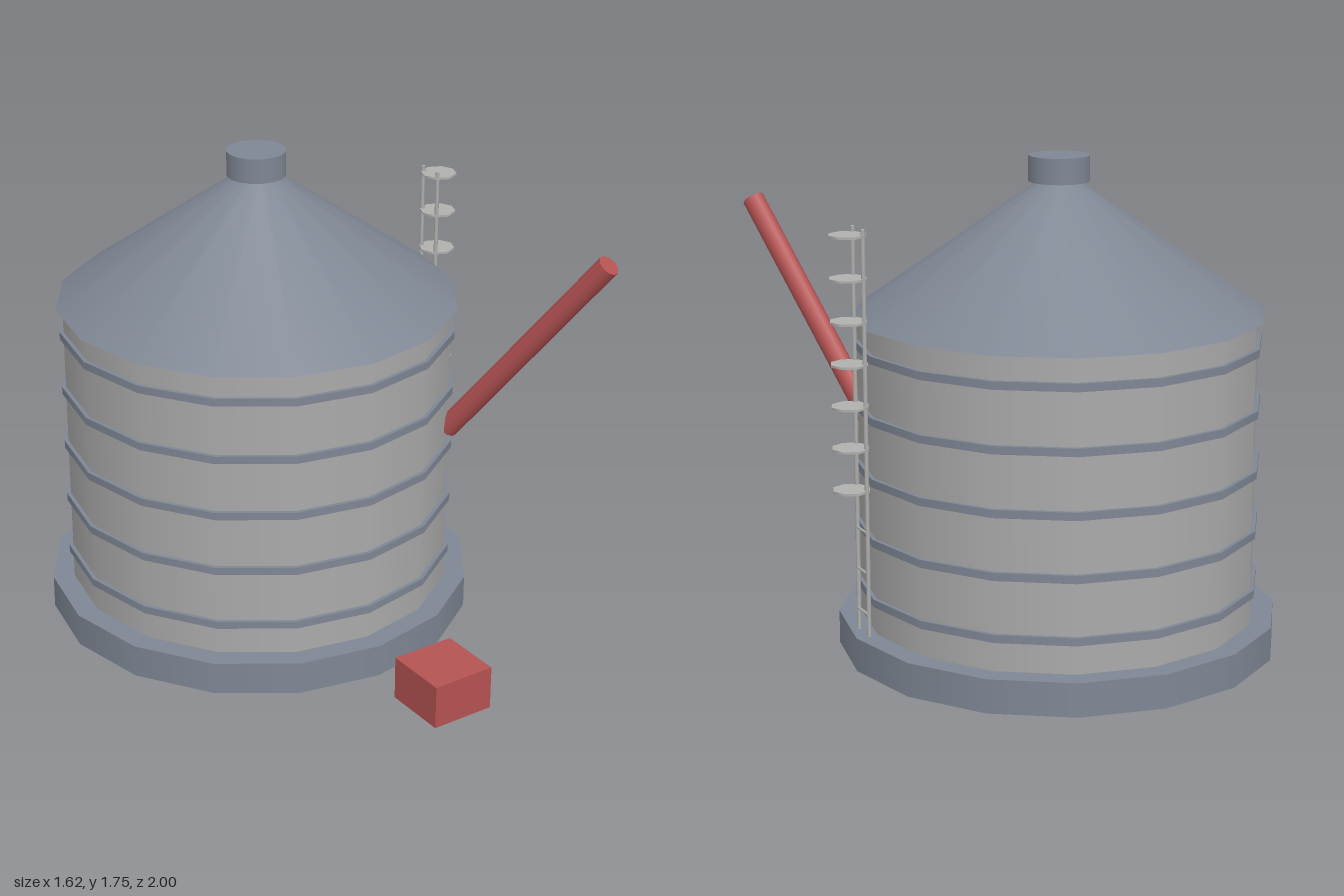
import * as THREE from 'three';

const CX = -0.033, CZ = -0.217; // axis of the silo
const SIDES = 16;

const paint = (color) => new THREE.MeshStandardMaterial({ color });

function add(parent, name, geometry, material, x = 0, y = 0, z = 0) {
  const mesh = new THREE.Mesh(geometry, material);
  mesh.name = name;
  mesh.position.set(x, y, z);
  parent.add(mesh);
  return mesh;
}

// Upright cylinder or cone given by its bottom and top heights
function drum(parent, name, material, rBottom, rTop, y0, y1, sides = SIDES, x = 0, z = 0) {
  const geometry = new THREE.CylinderGeometry(rTop, rBottom, y1 - y0, sides);
  return add(parent, name, geometry, material, x, (y0 + y1) / 2, z);
}

// Round bar between two points
function bar(parent, name, material, from, to, radius, sides) {
  const dir = to.clone().sub(from);
  const mid = from.clone().add(to).multiplyScalar(0.5);
  const geometry = new THREE.CylinderGeometry(radius, radius, dir.length(), sides);
  const mesh = add(parent, name, geometry, material, mid.x, mid.y, mid.z);
  mesh.quaternion.setFromUnitVectors(new THREE.Vector3(0, 1, 0), dir.normalize());
  return mesh;
}

export function createModel() {
  const model = new THREE.Group();
  model.name = 'grainSilo';

  const wallGrey = paint(0xa9aaa9);
  const steel = paint(0x7f8794);
  const lightSteel = paint(0xb0b0ae);
  const red = paint(0xb55252);

  // Tank: plinth, wall, bands, roof and cap
  const tank = new THREE.Group();
  tank.name = 'tank';
  tank.position.set(CX, 0, CZ);
  model.add(tank);
  drum(tank, 'plinth', steel, 0.783, 0.783, 0, 0.12);
  drum(tank, 'wall', wallGrey, 0.704, 0.704, 0.12, 1.2);
  for (let i = 0; i < 5; i++) {
    const y = 0.238 + i * 0.2155;
    drum(tank, 'band', steel, 0.718, 0.718, y - 0.014, y + 0.014);
  }
  drum(tank, 'roof', steel, 0.728, 0.07, 1.2, 1.662);
  drum(tank, 'roofCap', steel, 0.107, 0.107, 1.66, 1.75);

  // Ladder: two rails, evenly spaced rungs, round guards on the upper part
  const ladder = new THREE.Group();
  ladder.name = 'ladder';
  ladder.position.set(0.702, 0, -0.172);
  model.add(ladder);
  const halfWidth = 0.044;
  for (const side of [-1, 1]) {
    drum(ladder, 'rail', lightSteel, 0.0075, 0.0075, 0.12, 1.547, 6, 0, side * halfWidth);
  }
  for (let i = 0; i < 10; i++) {
    const y = 0.2 + i * 0.147;
    bar(ladder, 'rung', lightSteel, new THREE.Vector3(0.003, y, -halfWidth),
      new THREE.Vector3(0.003, y, halfWidth), 0.005, 6);
    if (i >= 3) drum(ladder, 'guard', lightSteel, 0.067, 0.067, y - 0.004, y + 0.004, 8, 0.038, 0);
  }

  // Sloping auger tube from the wall
  bar(model, 'augerTube', red, new THREE.Vector3(0.465, 0.735, 0.28),
    new THREE.Vector3(0.697, 1.5, 0.837), 0.04, 10);

  // Control box standing in front
  add(model, 'controlBox', new THREE.BoxGeometry(0.236, 0.16, 0.235), red, 0.007, 0.12, 0.8825);

  return model;
}
